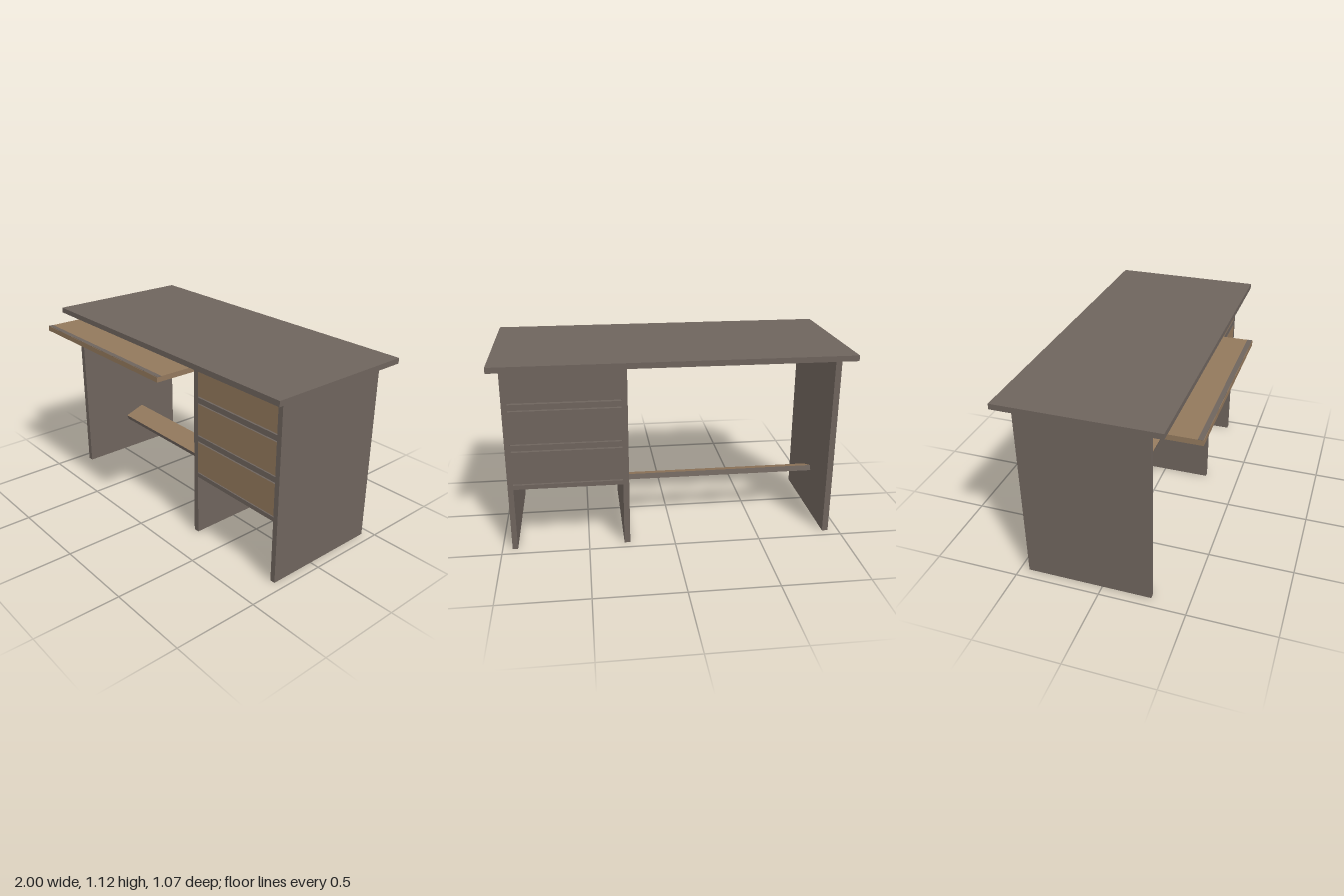
import * as THREE from 'three';

const grey = new THREE.MeshStandardMaterial({ color: 0x6e645d });
const tan = new THREE.MeshStandardMaterial({ color: 0x92785c });

export function createModel() {
  const desk = new THREE.Group();
  desk.name = 'desk';

  // Box between two limits on each axis; material may be a list per face (+x -x +y -y +z -z)
  function board(name, [x0, x1], [y0, y1], [z0, z1], material = grey) {
    const mesh = new THREE.Mesh(new THREE.BoxGeometry(x1 - x0, y1 - y0, z1 - z0), material);
    mesh.position.set((x0 + x1) / 2, (y0 + y1) / 2, (z0 + z1) / 2);
    mesh.name = name;
    desk.add(mesh);
    return mesh;
  }

  const depth = [-0.447, 0.287];
  const kneeSpan = [-0.897, 0.257];
  const drawerSpan = [0.295, 0.912];

  board('tabletop', [-1, 1], [1.085, 1.117], [-0.535, 0.372]);

  // Upright panels
  board('rightPanel', [-0.938, -0.903], [0, 1.085], depth);
  board('middlePanel', [0.261, 0.295], [0, 1.085], depth);
  board('leftPanel', [0.912, 0.943], [0, 1.085], depth);

  // Drawer stack: a shelf under each drawer, with narrow gaps between
  const shelves = [[0.377, 0.403], [0.61, 0.643], [0.847, 0.88]];
  const drawers = [[0.41, 0.602], [0.65, 0.84], [0.888, 1.08]];
  shelves.forEach((y, i) => board(`drawerShelf${i + 1}`, drawerSpan, y, depth));
  drawers.forEach((y, i) =>
    board(`drawer${i + 1}`, drawerSpan, y, depth, [grey, grey, grey, grey, tan, grey]));

  // Pulled-out keyboard tray with a strip along its front edge
  board('keyboardTray', kneeSpan, [1.02, 1.05], [-0.175, 0.535], [tan, tan, tan, grey, tan, grey]);
  board('trayEdgeStrip', kneeSpan, [1.049, 1.0515], [0.505, 0.533]);

  // Foot rest tilted down towards the front
  const tilt = 0.34, thick = 0.032, length = 0.14;
  const rest = board('footRest', kneeSpan, [0, thick], [0, length], [grey, grey, tan, grey, grey, grey]);
  rest.rotation.x = tilt;
  rest.position.y = 0.268;
  rest.position.z = -0.098;

  return desk;
}
